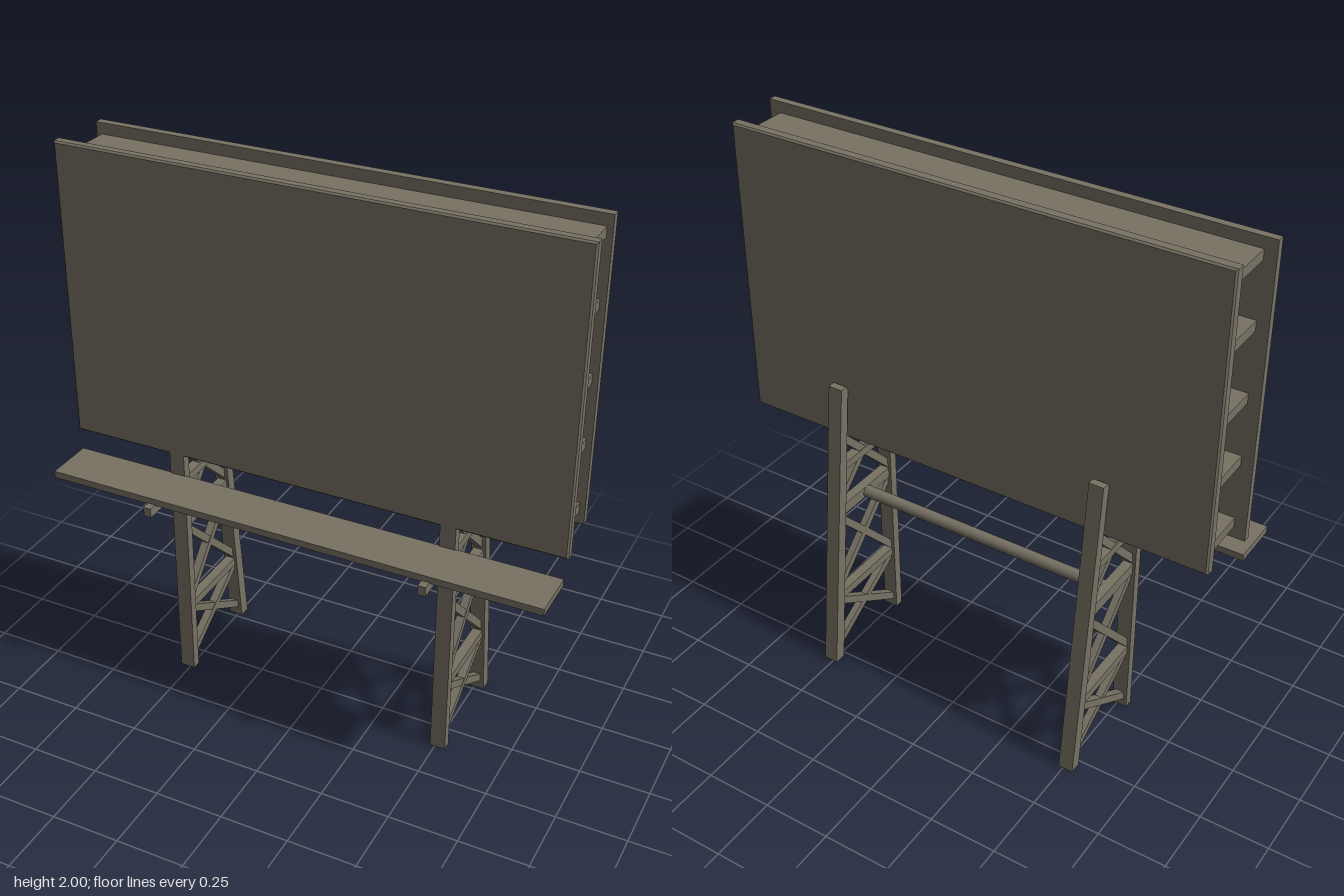
import * as THREE from 'three';

const metal = new THREE.MeshStandardMaterial({ color: 0x787264 });
metal.name = 'weathered metal';

function add(parent, name, geometry, x = 0, y = 0, z = 0) {
  const mesh = new THREE.Mesh(geometry, metal);
  mesh.name = name;
  mesh.position.set(x, y, z);
  parent.add(mesh);
  return mesh;
}

// Box given by its limits on each axis
function block(parent, name, x0, x1, y0, y1, z0, z1) {
  return add(parent, name, new THREE.BoxGeometry(x1 - x0, y1 - y0, z1 - z0),
    (x0 + x1) / 2, (y0 + y1) / 2, (z0 + z1) / 2);
}

// Profile drawn as [z, y] points, extruded to a width across x
function sideProfile(parent, name, points, width) {
  const shape = new THREE.Shape(points.map(([z, y]) => new THREE.Vector2(z, y)));
  const geometry = new THREE.ExtrudeGeometry(shape, { depth: width, bevelEnabled: false });
  geometry.translate(0, 0, -width / 2).rotateY(-Math.PI / 2);
  return add(parent, name, geometry);
}

// Straight bar in the side plane from (z0, y0) to (z1, y1)
function strut(parent, name, z0, y0, z1, y1, thick, width) {
  const length = Math.hypot(z1 - z0, y1 - y0);
  const bar = add(parent, name, new THREE.BoxGeometry(width, thick, length),
    0, (y0 + y1) / 2, (z0 + z1) / 2);
  bar.rotation.x = -Math.atan2(y1 - y0, z1 - z0);
  return bar;
}

// Centre line of the sloping rear leg
const rearZ = (y) => -0.288 + 0.107 * y;

function makeTower(name) {
  const tower = new THREE.Group();
  tower.name = name;
  block(tower, 'frontPost', -0.028, 0.028, 0, 0.96, 0.072, 0.105);
  sideProfile(tower, 'rearLeg',
    [[-0.31, 0], [-0.266, 0], [-0.147, 1.13], [-0.155, 1.14], [-0.182, 1.14]], 0.054);

  // Horizontal ties
  for (const [y, thick] of [[0.27, 0.032], [0.64, 0.042], [0.815, 0.03]]) {
    strut(tower, 'tie', 0.08, y, rearZ(y), y, thick, 0.036);
  }
  // Crossed braces in each bay, the two bars side by side
  for (const [low, high] of [[0.04, 0.26], [0.29, 0.62], [0.67, 0.95]]) {
    strut(tower, 'brace', 0.085, low, rearZ(high), high, 0.028, 0.03);
    strut(tower, 'brace', 0.085, high, rearZ(low), low, 0.028, 0.026);
  }
  // Bracket carrying the walkway
  block(tower, 'walkwayBracket', -0.014, 0.014, 0.79, 0.825, 0.09, 0.31);
  return tower;
}

// Shallow panel with a slightly chamfered outer edge
function makePanel(name, halfWidth, y0, y1, zInner, zOuter) {
  const panel = new THREE.Group();
  panel.name = name;
  const dir = Math.sign(zOuter - zInner);
  const lip = zOuter - dir * 0.006;
  block(panel, 'panelBody', -halfWidth, halfWidth, y0, y1, Math.min(zInner, lip), Math.max(zInner, lip));
  const face = new THREE.BoxGeometry(halfWidth * 2, y1 - y0, 0.006);
  const p = face.attributes.position;
  for (let i = 0; i < p.count; i++) {
    if (p.getZ(i) * dir > 0) {
      p.setX(i, p.getX(i) - Math.sign(p.getX(i)) * 0.006);
      p.setY(i, p.getY(i) - Math.sign(p.getY(i)) * 0.006);
    }
  }
  face.computeVertexNormals();
  add(panel, 'panelFace', face, 0, (y0 + y1) / 2, zOuter - dir * 0.003);
  return panel;
}

export function createModel() {
  const model = new THREE.Group();
  model.name = 'billboard';

  // Two display panels, back to back
  model.add(makePanel('frontPanel', 0.917, 0.925, 2, 0.072, 0.105));
  model.add(makePanel('backPanel', 0.895, 0.925, 2, -0.113, -0.148));

  // Shelves joining the panels
  for (const y of [0.985, 1.225, 1.455, 1.708, 1.942]) {
    block(model, 'panelSpacer', -0.875, 0.875, y - 0.018, y + 0.018, -0.115, 0.074);
  }

  // Lattice towers
  for (const side of [-1, 1]) {
    const tower = makeTower(side > 0 ? 'leftTower' : 'rightTower');
    tower.position.x = side * 0.51;
    model.add(tower);
  }

  // Round beam between the towers
  const beam = new THREE.CylinderGeometry(0.023, 0.023, 1.0, 12).rotateZ(Math.PI / 2);
  add(model, 'crossBeam', beam, 0, 0.638, -0.06);

  // Walkway in front of the panel
  block(model, 'walkway', -0.908, 0.908, 0.822, 0.847, 0.1, 0.28);

  return model;
}
